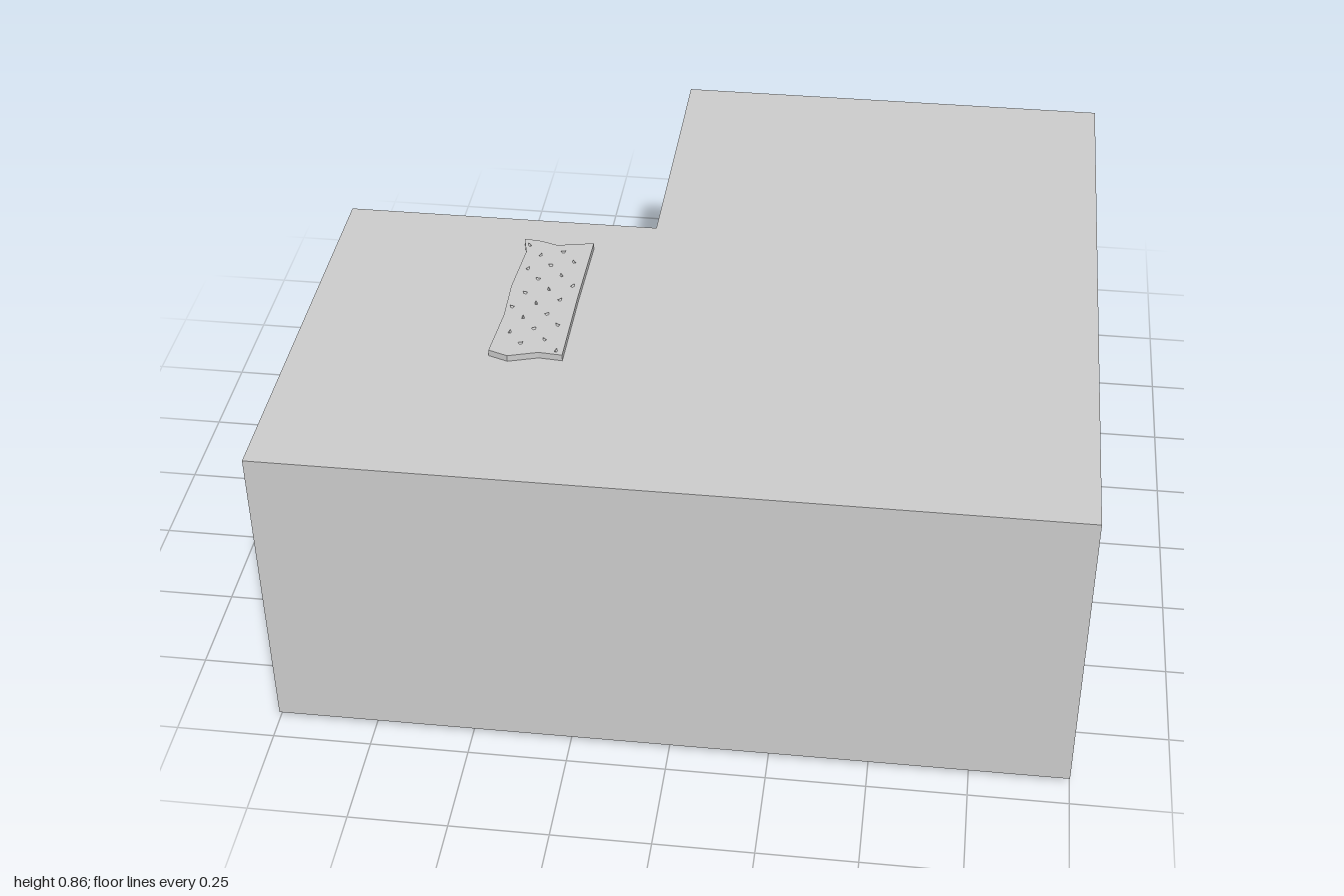
import * as THREE from 'three';

const material = new THREE.MeshStandardMaterial({ color: 0xcccccc });

export function createModel() {
  const model = new THREE.Group();

  function add(name, geometry, x = 0, y = 0, z = 0, parent = model) {
    const mesh = new THREE.Mesh(geometry, material);
    mesh.name = name;
    mesh.position.set(x, y, z);
    parent.add(mesh);
    return mesh;
  }

  // Extrudes a plan outline of [x, z] points downward from the given top height
  function slab(name, points, top, height) {
    const shape = new THREE.Shape(points.map(([x, z]) => new THREE.Vector2(x, z)));
    const geometry = new THREE.ExtrudeGeometry(shape, { depth: height, bevelEnabled: false });
    geometry.rotateX(Math.PI / 2);
    return add(name, geometry, 0, top, 0);
  }

  // L-shaped room block
  slab('room', [[-1, 0.935], [1, 0.935], [1, -0.915], [-0.17, -0.915], [-0.17, -0.168], [-1, -0.168]], 0.838, 0.818);

  // Uneven mat on the roof
  slab('roofMat', [
    [-0.505, -0.05], [-0.46, -0.045], [-0.415, -0.03], [-0.365, -0.04], [-0.32, -0.05], [-0.322, 0.2],
    [-0.32, 0.455], [-0.38, 0.45], [-0.455, 0.473], [-0.505, 0.455], [-0.495, 0.3], [-0.5, 0.17], [-0.49, 0.01],
  ], 0.855, 0.018);

  // Small specks scattered on the mat
  const specks = new THREE.Group();
  specks.name = 'matSpecks';
  model.add(specks);
  const speckGeometry = new THREE.TetrahedronGeometry(0.008);
  for (let i = 0; i < 22; i++) {
    const x = -0.485 + 0.15 * ((i * 0.618) % 1);
    const z = -0.02 + 0.46 * (i / 21);
    add('speck', speckGeometry, x, 0.855, z, specks).rotation.y = i;
  }

  // Back door: thin panel with a raised frame
  const door = new THREE.Group();
  door.name = 'door';
  door.position.set(0.4, 0, -0.915);
  model.add(door);
  add('doorPanel', new THREE.BoxGeometry(0.32, 0.61, 0.006), 0, 0.325, 0, door);
  for (const side of [-1, 1]) {
    add('doorJamb', new THREE.BoxGeometry(0.014, 0.61, 0.014), side * 0.153, 0.325, 0, door);
  }
  add('doorLintel', new THREE.BoxGeometry(0.32, 0.014, 0.014), 0, 0.623, 0, door);
  add('doorSill', new THREE.BoxGeometry(0.32, 0.014, 0.014), 0, 0.027, 0, door);

  // Winged ornament on the door
  const ball = new THREE.SphereGeometry(1, 20, 12);
  add('ornamentBody', ball, 0, 0.455, 0, door).scale.set(0.032, 0.053, 0.024);
  for (const side of [-1, 1]) {
    add('ornamentShoulder', ball, side * 0.042, 0.465, 0, door).scale.set(0.026, 0.046, 0.019);
    const wing = add('ornamentWing', ball, side * 0.085, 0.445, 0, door);
    wing.scale.set(0.062, 0.021, 0.013);
    wing.rotation.z = -side * 0.85;
  }

  // Pair of runners under the floor
  for (const z of [0.247, 0.067]) {
    add('floorRunner', new THREE.BoxGeometry(0.27, 0.024, 0.016), -0.8, 0.012, z);
  }

  // Rounded bump under the floor
  add('floorBump', ball, 0, 0.02, -0.69).scale.set(0.042, 0.014, 0.038);

  return model;
}
